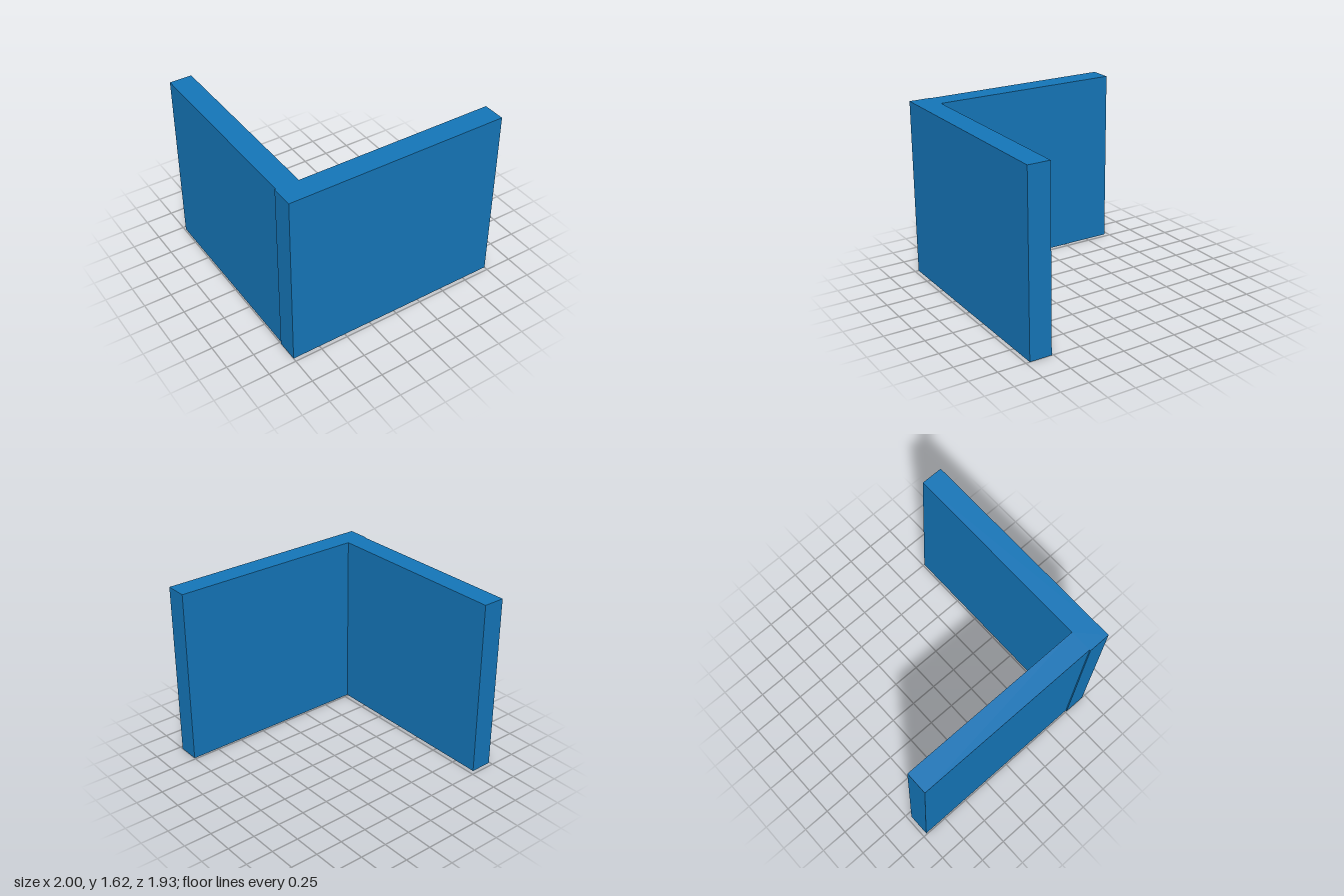
import * as THREE from 'three';

export function createModel() {
  const group = new THREE.Group();
  group.name = 'cornerWalls';
  const height = 1.615;
  const frontZ = 0.965, innerZ = 0.765, backZ = -0.965;
  const sideOuterX = -0.99, sideInnerX = -0.79;

  // L-shaped floor plan as [x, z]; the side wall is set in slightly from the front wall's end
  const plan = [
    [-1, frontZ], [1, frontZ], [1, innerZ], [sideInnerX, innerZ],
    [sideInnerX, backZ], [sideOuterX, backZ], [sideOuterX, innerZ], [-1, innerZ],
  ];
  const shape = new THREE.Shape(plan.map(([x, z]) => new THREE.Vector2(x, -z)));

  // Raise the plan to full height, standing on the ground
  const geometry = new THREE.ExtrudeGeometry(shape, { depth: height, bevelEnabled: false });
  geometry.rotateX(-Math.PI / 2);

  const walls = new THREE.Mesh(geometry, new THREE.MeshStandardMaterial({ color: 0x1474b6 }));
  walls.name = 'frontAndSideWalls';
  group.add(walls);
  return group;
}
